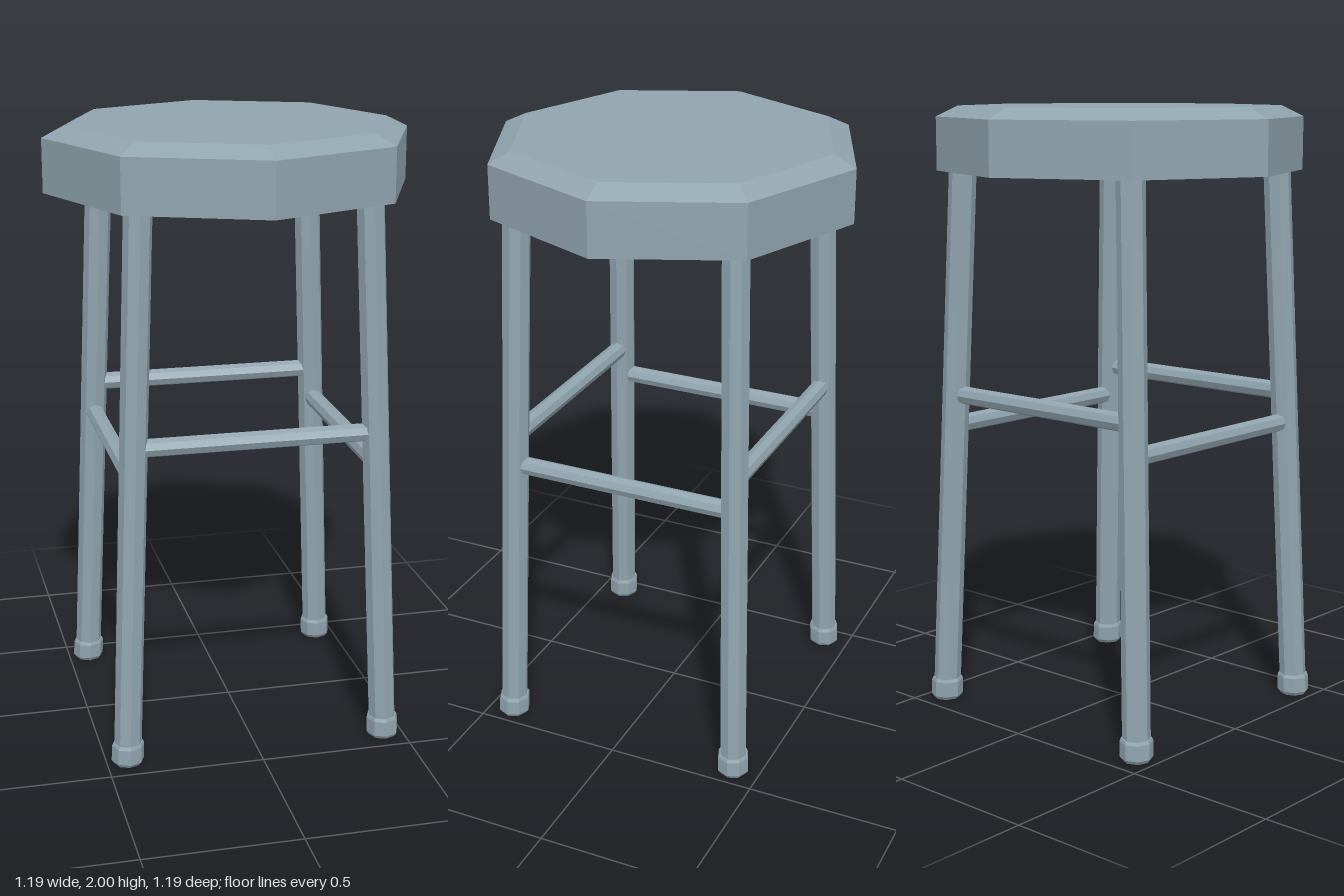
import * as THREE from 'three';

const material = new THREE.MeshStandardMaterial({ color: 0x90a4ae, flatShading: true });

// Leg centre line: splayed outwards towards the floor
const legX = (y) => 0.432 - 0.039 * y;
const legZ = (y) => 0.412 - 0.027 * y;

// Eight-sided turned part from [radius, y] pairs, listed bottom to top
function turned(profile) {
  return new THREE.LatheGeometry(profile.map(([r, y]) => new THREE.Vector2(r, y)), 8);
}

// Slide each level of a turned part onto the leg centre line
function splay(geometry, sx, sz) {
  const p = geometry.attributes.position;
  for (let i = 0; i < p.count; i++) {
    const y = p.getY(i);
    p.setX(i, p.getX(i) + sx * legX(y));
    p.setZ(i, p.getZ(i) + sz * legZ(y));
  }
  geometry.computeVertexNormals();
  return geometry;
}

export function createModel() {
  const stool = new THREE.Group();
  stool.name = 'stool';

  function add(name, geometry) {
    const mesh = new THREE.Mesh(geometry, material);
    mesh.name = name;
    stool.add(mesh);
    return mesh;
  }

  // Octagonal seat with a bevelled top and a hollow underside
  add('seat', turned([
    [0, 1.925], [0.562, 1.925], [0.562, 1.792], [0.597, 1.792],
    [0.597, 1.965], [0.525, 2], [0, 2],
  ]));

  // Four splayed legs with wider feet
  for (const sx of [-1, 1]) {
    for (const sz of [-1, 1]) {
      const label = (sz > 0 ? 'front' : 'back') + (sx > 0 ? 'Left' : 'Right');
      add(label + 'Leg', splay(turned([[0.045, 0.03], [0.045, 1.93]]), sx, sz));
      add(label + 'Foot', splay(turned([
        [0, 0], [0.044, 0], [0.053, 0.012], [0.053, 0.062], [0.049, 0.072], [0, 0.072],
      ]), sx, sz));
    }
  }

  // Rungs: the front and back pair sits higher than the side pair
  const highY = 1.056, lowY = 0.953, rungRadius = 0.03;
  for (const s of [-1, 1]) {
    const across = add(s > 0 ? 'frontRung' : 'backRung',
      new THREE.CylinderGeometry(rungRadius, rungRadius, 2 * legX(highY), 8));
    across.rotation.z = Math.PI / 2;
    across.position.set(0, highY, s * legZ(highY));

    const along = add(s > 0 ? 'leftRung' : 'rightRung',
      new THREE.CylinderGeometry(rungRadius, rungRadius, 2 * legZ(lowY), 8));
    along.rotation.x = Math.PI / 2;
    along.position.set(s * legX(lowY), lowY, 0);
  }

  return stool;
}
